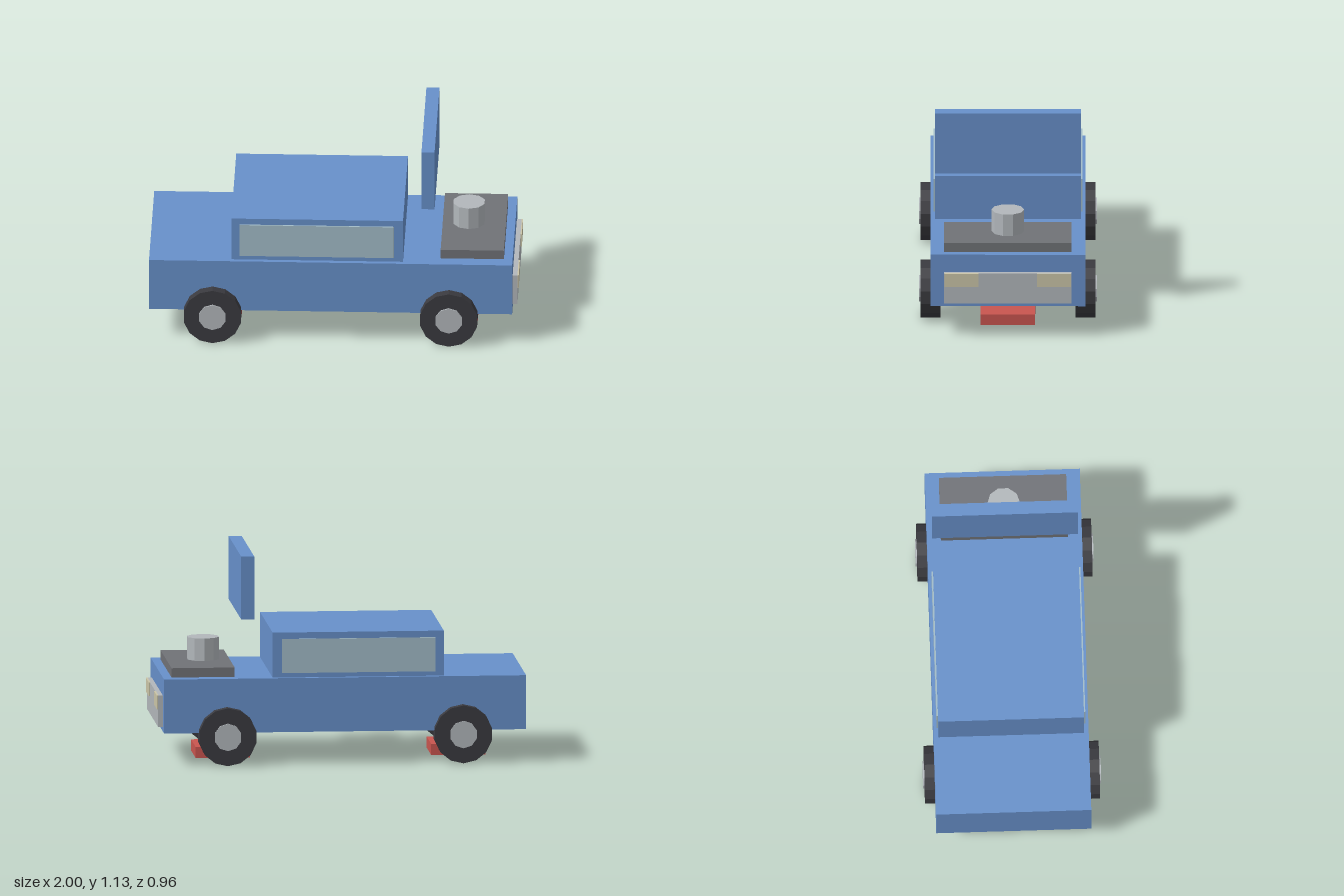
import * as THREE from 'three';

const mat = (name, color) => {
  const m = new THREE.MeshStandardMaterial({ color });
  m.name = name;
  return m;
};

export function createModel() {
  const blue = mat('blue paint', 0x6790ca);
  const glass = mat('glass', 0xa2bcc8);
  const metal = mat('light metal', 0xb2b7bb);
  const iron = mat('engine grey', 0x707277);
  const rubber = mat('tyre rubber', 0x3a3a3f);
  const lamp = mat('lamp cream', 0xcbc5a8);
  const red = mat('red pad', 0xc9554f);

  const car = new THREE.Group();
  car.name = 'car';

  const add = (name, geometry, material, parent = car) => {
    const mesh = new THREE.Mesh(geometry, material);
    mesh.name = name;
    parent.add(mesh);
    return mesh;
  };
  // Box from its minimum and maximum on each axis
  const box = (name, material, [x0, x1], [y0, y1], [z0, z1]) =>
    add(name, new THREE.BoxGeometry(x1 - x0, y1 - y0, z1 - z0), material)
      .position.set((x0 + x1) / 2, (y0 + y1) / 2, (z0 + z1) / 2);
  // Faceted cylinder
  const prism = (r, h, sides) => {
    const g = new THREE.CylinderGeometry(r, r, h, sides).toNonIndexed();
    g.computeVertexNormals();
    return g;
  };

  // Body, cabin and raised bonnet panel
  box('body', blue, [-1, 0.967], [0.175, 0.47], [-0.42, 0.42]);
  box('cabin', blue, [-0.555, 0.375], [0.47, 0.716], [-0.395, 0.395]);
  box('bonnet', blue, [0.475, 0.546], [0.79, 1.134], [-0.395, 0.395]);

  // Engine with air filter
  box('engineBlock', iron, [0.577, 0.92], [0.47, 0.521], [-0.345, 0.345]);
  add('airFilter', prism(0.0885, 0.124, 10), metal).position.set(0.72, 0.582, 0);

  // Front grille
  box('grille', metal, [0.967, 0.993], [0.2, 0.372], [-0.345, 0.345]);

  for (const s of [1, -1]) {
    const span = (a, b) => (s > 0 ? [a, b] : [-b, -a]);
    box('sideWindow', glass, [-0.51, 0.325], [0.495, 0.681], span(0.395, 0.403));
    box('headlamp', lamp, [0.99, 1], [0.297, 0.372], span(0.158, 0.342));

    // Wheels with hubs on the outer face
    for (const x of [-0.655, 0.625]) {
      const wheel = new THREE.Group();
      wheel.name = x > 0 ? 'frontWheel' : 'rearWheel';
      wheel.position.set(x, 0.158, s * 0.42);
      wheel.rotation.x = s * Math.PI / 2;
      add('tyre', prism(0.158, 0.108, 14), rubber, wheel);
      add('hub', prism(0.075, 0.02, 10), metal, wheel).position.y = 0.052;
      car.add(wheel);
    }
  }

  // Flat pads between the wheels
  for (const x of [-0.655, 0.625])
    box('pad', red, [x - 0.147, x + 0.147], [0, 0.06], [-0.148, 0.148]);

  return car;
}
